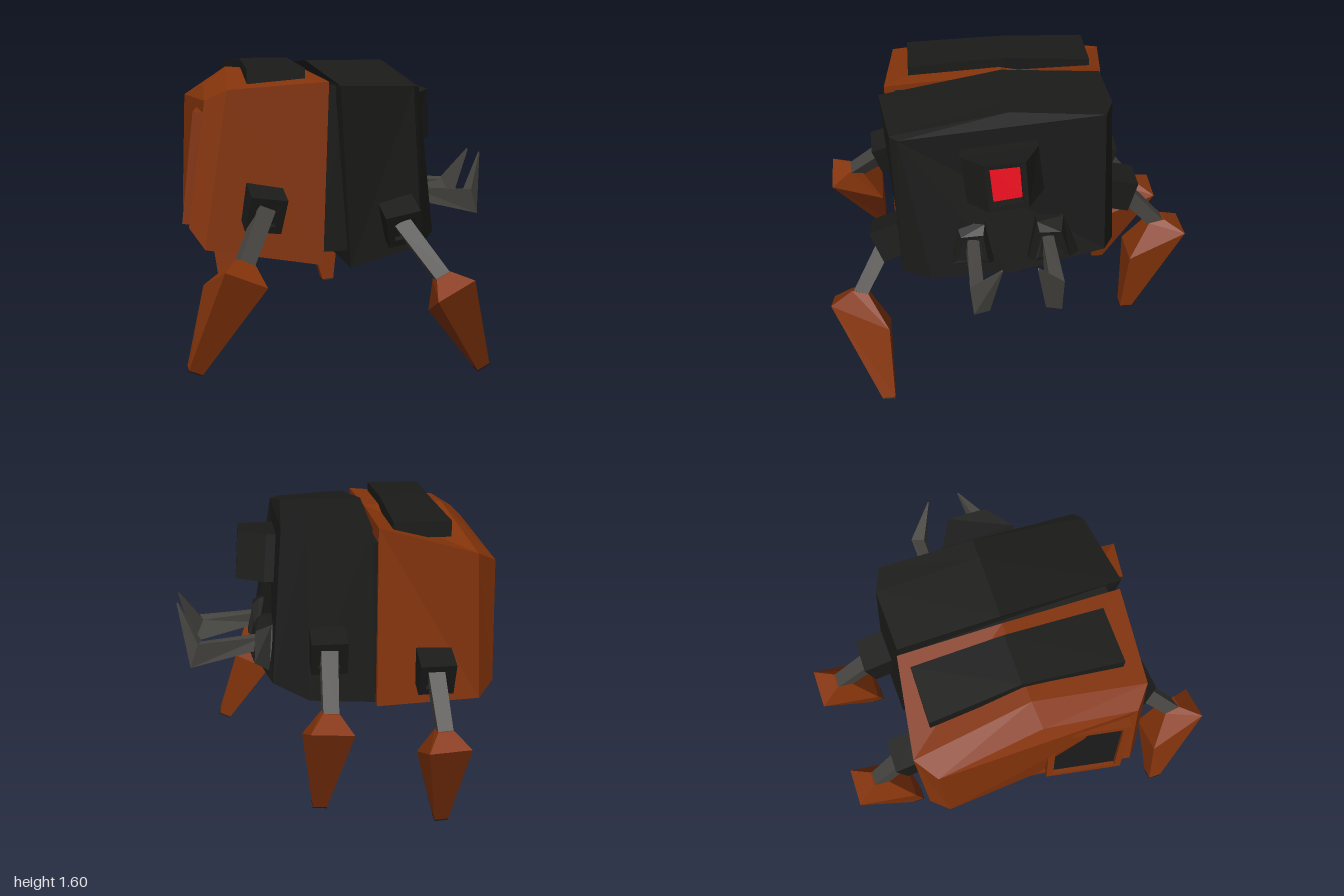
import * as THREE from 'three';

const mat = (color) => new THREE.MeshStandardMaterial({ color, flatShading: true });
const ORANGE = mat(0x85340b), BLACK = mat(0x1b1b1a), GREY = mat(0x454440), RED = mat(0xf01020);
const V = (x, y, z) => new THREE.Vector3(x, y, z);

// Closed solid through rings of [x, y, z] corners; faces are turned outward by signed volume
function loft(name, material, rings) {
  const n = rings[0].length;
  const pts = rings.flat().map((p) => (p.isVector3 ? p : V(...p)));
  const tris = [];
  for (let r = 0; r < rings.length - 1; r++) {
    for (let i = 0; i < n; i++) {
      const a = r * n + i, b = r * n + (i + 1) % n;
      tris.push([a, b, b + n], [a, b + n, a + n]);
    }
  }
  const last = (rings.length - 1) * n;
  for (let i = 1; i < n - 1; i++) {
    tris.push([0, i + 1, i], [last, last + i, last + i + 1]);
  }
  let volume = 0;
  for (const [a, b, c] of tris) volume += pts[a].dot(pts[b].clone().cross(pts[c]));
  const index = tris.flatMap(([a, b, c]) => (volume < 0 ? [a, c, b] : [a, b, c]));
  const geo = new THREE.BufferGeometry().setFromPoints(pts);
  geo.setIndex(index);
  geo.computeVertexNormals();
  const mesh = new THREE.Mesh(geo, material);
  mesh.name = name;
  return mesh;
}

// Four corners around a centre, spanned by two half-vectors
const quad = (c, u, v) => [[1, 1], [-1, 1], [-1, -1], [1, -1]].map(([a, b]) =>
  c.clone().addScaledVector(u, a).addScaledVector(v, b));

// Square frame with a hole, facing +z
function frame(w, h, border, depth) {
  const rect = (P, x, y) => new P([[-x, -y], [x, -y], [x, y], [-x, y]].map(([a, b]) => new THREE.Vector2(a, b)));
  const shape = rect(THREE.Shape, w / 2, h / 2);
  shape.holes.push(rect(THREE.Path, w / 2 - border, h / 2 - border));
  return new THREE.ExtrudeGeometry(shape, { depth, bevelEnabled: false });
}

// Leg: tilted hollow socket, square arm and a tapering foot with a dark tip
function makeLeg({ name, socket, pitch, roll, knee, tip }) {
  const leg = new THREE.Group();
  leg.name = name;
  const s = V(...socket), k = V(...knee), t = V(...tip);
  const out = V(0, 0, Math.sign(s.z));

  const hub = new THREE.Group();
  hub.name = 'legSocket';
  const rim = new THREE.Mesh(frame(0.18, 0.18, 0.035, 0.16), BLACK);
  rim.position.z = -0.1;
  const core = new THREE.Mesh(new THREE.BoxGeometry(0.13, 0.13, 0.12), BLACK);
  core.position.z = -0.03;
  hub.add(rim, core);
  hub.position.copy(s);
  hub.lookAt(s.clone().add(out).add(V(0, -pitch, 0)));
  hub.rotateZ(roll * out.z);
  leg.add(hub);

  const dir = k.clone().sub(s).normalize();
  const armSide = dir.clone().cross(out).normalize();
  const armUp = armSide.clone().cross(dir);
  const armRing = (c, r) => quad(c, armSide.clone().multiplyScalar(r), armUp.clone().multiplyScalar(r));
  leg.add(loft('arm', GREY, [armRing(s, 0.042),
    armRing(k.clone().addScaledVector(dir, 0.03), 0.038)]));

  const axis = t.clone().sub(k).normalize();
  const side = axis.clone().cross(out).normalize();
  const at = (c, o, d, w) => c.clone().addScaledVector(out, o).addScaledVector(axis, d).addScaledVector(side, w);
  const ring = (c, [o1, d1, w1], [o2, d2, w2]) =>
    [at(c, o1, d1, w1), at(c, o1, d1, -w1), at(c, o2, d2, -w2), at(c, o2, d2, w2)];
  const end = ring(t, [0.035, 0, 0.036], [-0.035, 0, 0.036]);
  leg.add(loft('foot', ORANGE, [
    ring(k, [0.04, -0.02, 0.04], [-0.04, 0, 0.04]),
    ring(k, [0.16, 0.04, 0.105], [-0.11, 0.19, 0.113]),
    end,
  ]));
  const cap = end.map((p) => p.clone().addScaledVector(axis, 0.008));
  leg.add(loft('footTip', BLACK, [end, cap]));
  return leg;
}

export function createModel() {
  const model = new THREE.Group();
  model.name = 'fourLeggedBeetle';

  // Rear shell: rings from the middle of the body to the tail
  model.add(loft('rearShell', ORANGE, [
    [[-0.15, 1.51, 0.615], [-0.15, 1.55, 0], [-0.15, 1.56, -0.53], [-0.15, 0.63, -0.57], [-0.16, 0.6, 0], [-0.18, 0.6, 0.615]],
    [[-0.64, 1.475, 0.57], [-0.57, 1.56, 0], [-0.63, 1.44, -0.605], [-0.68, 0.66, -0.59], [-0.72, 0.62, 0], [-0.76, 0.70, 0.57]],
    [[-0.74, 1.42, 0.49], [-0.69, 1.47, 0.02], [-0.74, 1.38, -0.52], [-0.77, 0.72, -0.5], [-0.73, 0.70, 0.02], [-0.83, 0.80, 0.5]],
  ]));

  // Bent plate on top of the rear shell
  model.add(loft('topPlate', BLACK, [
    [0.485, 1.57, -0.53, -0.24], [-0.02, 1.605, -0.49, -0.23], [-0.485, 1.575, -0.52, -0.23],
  ].map(([z, y, x0, x1]) => [[x0, y, z], [x1, y, z], [x1, y - 0.08, z], [x0, y - 0.08, z]])));

  // Framed hatch on one half of the tail
  const hatch = new THREE.Group();
  hatch.name = 'tailHatch';
  const hatchFrame = new THREE.Mesh(frame(0.4, 0.56, 0.035, 0.05), ORANGE);
  const hatchPanel = new THREE.Mesh(new THREE.BoxGeometry(0.34, 0.5, 0.06), BLACK);
  hatch.add(hatchFrame, hatchPanel);
  hatch.position.set(-0.74, 1.08, 0.25);
  hatch.lookAt(-1.74, 1.2, 0.07);
  model.add(hatch);

  // Head block, leaning slightly to one side
  model.add(loft('head', BLACK, [
    [[-0.1, 1.49, 0.645], [-0.13, 1.59, 0], [-0.12, 1.56, -0.52], [-0.14, 0.66, -0.58], [-0.08, 0.62, 0], [-0.03, 0.57, 0.59]],
    [[0.29, 1.48, 0.59], [0.2, 1.59, 0], [0.2, 1.56, -0.53], [0.2, 0.69, -0.59], [0.25, 0.65, 0], [0.35, 0.66, 0.575]],
    [[0.33, 1.475, 0.55], [0.3, 1.59, 0], [0.32, 1.56, -0.48], [0.38, 0.76, -0.51], [0.45, 0.69, 0], [0.465, 0.70, 0.42]],
  ]));

  // Neck joining both halves
  const neck = new THREE.Mesh(new THREE.BoxGeometry(0.16, 0.83, 1.08), BLACK);
  neck.name = 'neck';
  neck.position.set(-0.12, 1.07, 0.02);
  model.add(neck);

  // Eye housing with a recessed lens
  const lens = (d) => [[0.525 + d, 1.41, 0.115], [0.525 + d, 1.42, -0.035], [0.542 + d, 1.22, -0.05], [0.542 + d, 1.2, 0.095]];
  model.add(loft('eyeHousing', BLACK, [
    [[0.28, 1.41, 0.25], [0.28, 1.44, -0.14], [0.3, 1.19, -0.17], [0.3, 1.15, 0.22]],
    [[0.4, 1.41, 0.25], [0.38, 1.44, -0.14], [0.4, 1.19, -0.17], [0.42, 1.15, 0.22]],
    [[0.525, 1.435, 0.14], [0.525, 1.445, -0.06], [0.545, 1.19, -0.08], [0.545, 1.17, 0.12]],
    lens(0),
    lens(-0.06),
  ]));
  model.add(loft('eyeLens', RED, [lens(-0.06), lens(-0.045)]));

  // Hollow-socketed mandibles, mirrored across z
  for (const m of [1, -1]) {
    const jaw = new THREE.Group();
    jaw.name = m > 0 ? 'rightMandible' : 'leftMandible';
    const flip = (rings) => rings.map((r) => r.map(([x, y, z]) => [x, y, z * m]));
    jaw.add(loft('mandibleSocket', BLACK, flip([
      [[0.32, 1.01, 0.13], [0.32, 1.01, 0.28], [0.34, 0.77, 0.38], [0.34, 0.78, 0.09]],
      [[0.42, 1.0, 0.135], [0.37, 0.99, 0.28], [0.39, 0.77, 0.37], [0.45, 0.78, 0.09]],
      [[0.46, 0.96, 0.145], [0.455, 0.95, 0.26], [0.465, 0.79, 0.31], [0.49, 0.80, 0.12]],
      [[0.46, 0.94, 0.16], [0.455, 0.93, 0.245], [0.465, 0.81, 0.28], [0.49, 0.82, 0.14]],
      [[0.42, 0.94, 0.16], [0.415, 0.93, 0.245], [0.425, 0.81, 0.28], [0.45, 0.82, 0.14]],
    ])));
    jaw.add(loft('mandibleBlade', GREY, flip([
      [[0.41, 0.905, 0.165], [0.41, 0.905, 0.225], [0.41, 0.84, 0.235], [0.41, 0.84, 0.17]],
      [[0.74, 0.87, 0.165], [0.76, 0.88, 0.235], [0.805, 0.74, 0.22], [0.795, 0.75, 0.14]],
      [[0.86, 1.068, 0.085], [0.862, 1.068, 0.09], [0.866, 1.06, 0.09], [0.866, 1.06, 0.083]],
    ])));
    model.add(jaw);
  }

  // Four legs, each in its own stance
  [
    { name: 'rearRightLeg', socket: [-0.48, 0.9, 0.65], pitch: 0.3, roll: -0.15, knee: [-0.61, 0.69, 0.845], tip: [-0.842, 0.155, 0.74] },
    { name: 'frontRightLeg', socket: [0.22, 0.8, 0.64], pitch: 0.4, roll: 0.22, knee: [0.38, 0.555, 0.805], tip: [0.652, 0.03, 0.69] },
    { name: 'frontLeftLeg', socket: [0.105, 0.965, -0.63], pitch: 0.25, roll: 0, knee: [0.12, 0.735, -0.845], tip: [0.165, 0.16, -0.71] },
    { name: 'rearLeftLeg', socket: [-0.435, 0.83, -0.63], pitch: 0.3, roll: 0, knee: [-0.45, 0.595, -0.815], tip: [-0.485, 0.01, -0.66] },
  ].forEach((spec) => model.add(makeLeg(spec)));

  return model;
}
